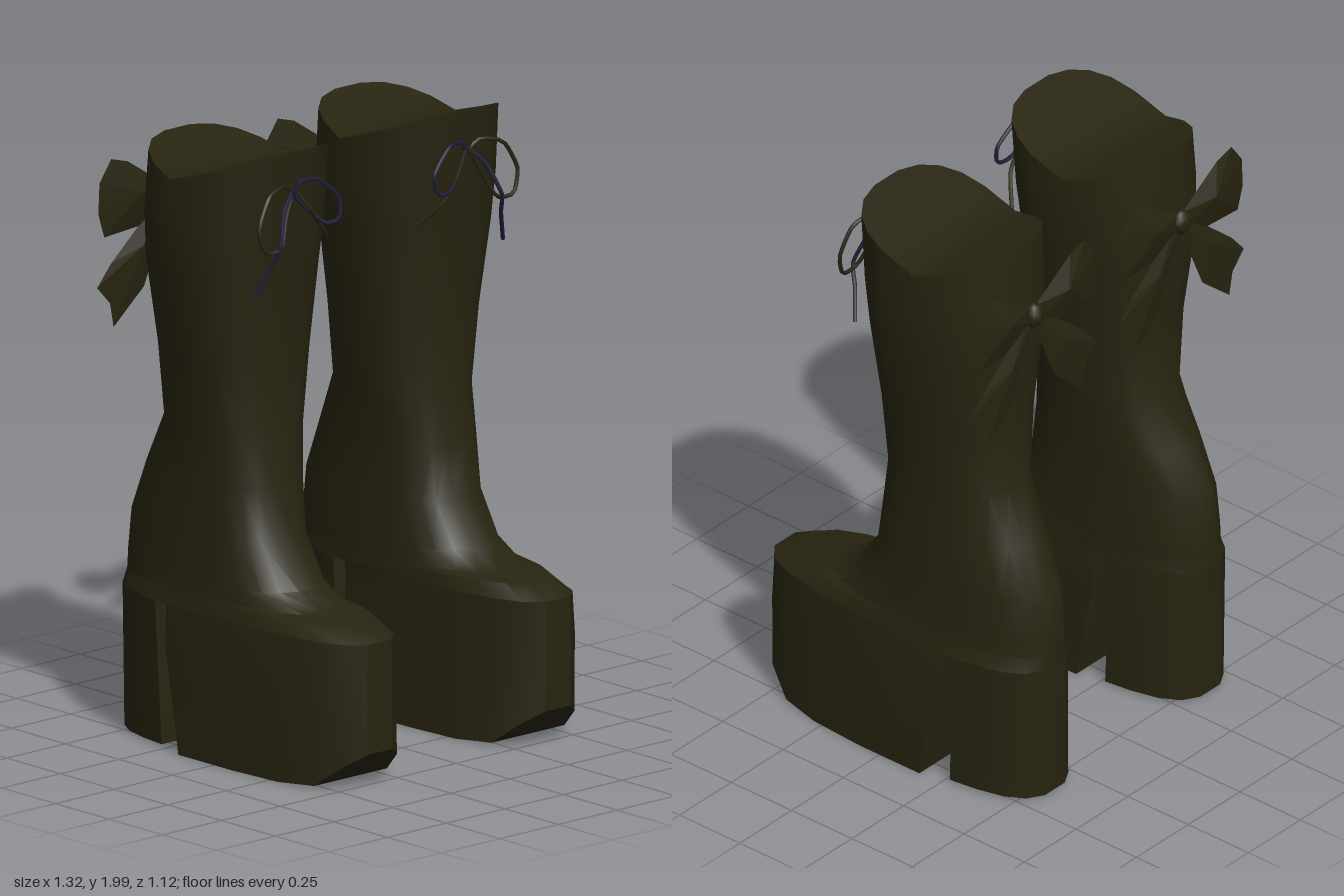
import * as THREE from 'three';
import { toCreasedNormals } from 'three/addons/utils/BufferGeometryUtils.js';

const N = 20; // points per horizontal section

// One egg-shaped section: x range, back z, front z, widest z, roundness,
// optional z clamp (flat cut) and height that may depend on z.
function section({ y, x0, x1, zb, zf, zm = -0.1, e = 0.8, min = -9, max = 9 }) {
  const xc = (x0 + x1) / 2, hw = (x1 - x0) / 2;
  const tip = Math.cos(Math.PI / N) ** e;
  const bend = (v) => Math.sign(v) * Math.abs(v) ** e / tip;
  return Array.from({ length: N }, (_, i) => {
    const t = ((i + 0.5) / N) * Math.PI * 2;
    const s = bend(Math.sin(t));
    const z = Math.min(max, Math.max(min, zm + s * (s > 0 ? zf - zm : zm - zb)));
    return [xc + hw * bend(Math.cos(t)), typeof y === 'function' ? y(z) : y, z];
  });
}

// Skin through sections, closed at both ends with strips across x.
function loft(sections) {
  const rings = sections.map(section), index = [];
  const at = (j, i) => j * N + ((i + N) % N);
  for (let j = 0; j < rings.length - 1; j++) {
    for (let i = 0; i < N; i++) {
      const a = at(j, i), b = at(j, i + 1), c = at(j + 1, i), d = at(j + 1, i + 1);
      index.push(a, c, b, b, c, d);
    }
  }
  const last = rings.length - 1;
  for (let k = -N / 4; k < N / 4 - 1; k++) {
    const m = N / 2 - 1 - k;
    for (const j of [0, last]) {
      const r = at(j, k), r2 = at(j, k + 1), l = at(j, m), l2 = at(j, m - 1);
      if (j) index.push(l, l2, r, r, l2, r2);
      else index.push(l, r, l2, r, r2, l2);
    }
  }
  const g = new THREE.BufferGeometry();
  g.setAttribute('position', new THREE.Float32BufferAttribute(rings.flat(2), 3));
  g.setIndex(index);
  return toCreasedNormals(g, 0.65);
}

// Flat outline with a raised middle on both faces (outline anticlockwise from +z).
function puff(outline, cx, cy, z, depth) {
  const p = [];
  outline.forEach(([x, y], i) => {
    const [u, v] = outline[(i + 1) % outline.length];
    p.push(x, y, z, u, v, z, cx, cy, z + depth);
    p.push(u, v, z, x, y, z, cx, cy, z - depth);
  });
  const g = new THREE.BufferGeometry();
  g.setAttribute('position', new THREE.Float32BufferAttribute(p, 3));
  g.computeVertexNormals();
  return g;
}

function cord(points, closed) {
  const path = new THREE.CatmullRomCurve3(points.map((p) => new THREE.Vector3(...p)), closed, 'catmullrom', 0.3);
  return new THREE.TubeGeometry(path, 24, 0.007, 5, closed).toNonIndexed();
}

// Mirror in x and reverse the corner order.
function mirrored(geometry, about = 0) {
  const g = geometry.clone();
  g.scale(-1, 1, 1).translate(2 * about, 0, 0);
  for (const a of Object.values(g.attributes)) {
    for (let i = 0; i < a.count; i += 3) {
      for (let c = 0; c < a.itemSize; c++) {
        const v = a.getComponent(i + 1, c);
        a.setComponent(i + 1, c, a.getComponent(i + 2, c));
        a.setComponent(i + 2, c, v);
      }
    }
  }
  return g;
}

export function createModel() {
  const leather = new THREE.MeshStandardMaterial({ color: 0x272410 });
  leather.name = 'dark olive leather';
  const navy = new THREE.MeshStandardMaterial({ color: 0x1f1d3a });
  navy.name = 'navy cord';

  const joint = { y: 0.485, x0: 0.2, x1: 0.56, zb: -0.555, zf: 0.56, e: 0.7 };
  const topEdge = (z) => 1.89 + (z > -0.16 ? (z + 0.16) * 0.355 : (-0.16 - z) * 0.335);

  // Foot upper, ankle and shaft up to the dipped top edge
  const upper = loft([
    joint,
    { y: 0.53, x0: 0.2, x1: 0.55, zb: -0.555, zf: 0.47 },
    { y: 0.54, x0: 0.2, x1: 0.548, zb: -0.555, zf: 0.33 },
    { y: 0.59, x0: 0.2, x1: 0.545, zb: -0.555, zf: 0.22 },
    { y: 0.73, x0: 0.205, x1: 0.54, zb: -0.54, zf: 0.12 },
    { y: 0.9, x0: 0.2, x1: 0.54, zb: -0.465, zf: 0.095 },
    { y: 1.07, x0: 0.18, x1: 0.54, zb: -0.38, zf: 0.07 },
    { y: 1.32, x0: 0.148, x1: 0.575, zb: -0.38, zf: 0.075 },
    { y: 1.6, x0: 0.122, x1: 0.613, zb: -0.41, zf: 0.105 },
    { y: 1.76, x0: 0.108, x1: 0.622, zb: -0.41, zf: 0.125 },
    { y: topEdge, x0: 0.115, x1: 0.61, zb: -0.4, zf: 0.155 },
  ]);

  // Platform sole with raised toe and sloped rear
  const toeSpring = (z) => 0.01 + Math.max(0, (z - 0.41) * 0.8);
  const platform = loft([
    { ...joint, y: toeSpring, x0: 0.182, x1: 0.575, min: -0.165 },
    { ...joint, y: 0.35, x0: 0.19, x1: 0.575, min: -0.225 },
    { ...joint, y: 0.487, min: -0.25 },
  ]);

  // Block heel with a flat front
  const heel = loft([
    { ...joint, y: 0.018, x0: 0.2, x1: 0.55, max: -0.27 },
    { ...joint, y: 0.487, max: -0.29 },
  ]);

  // Rear bow: one loop and one tail, then their mirrored copies
  const mid = 0.355, bowZ = -0.45;
  const loop = puff([[0.36, 1.71], [0.48, 1.66], [0.63, 1.65], [0.655, 1.73],
    [0.65, 1.83], [0.6, 1.9], [0.53, 1.88], [0.36, 1.77]], 0.49, 1.78, bowZ, 0.033);
  const tail = puff([[0.34, 1.74], [0.46, 1.46], [0.59, 1.35], [0.605, 1.43],
    [0.66, 1.49], [0.6, 1.56], [0.38, 1.75]], 0.48, 1.6, bowZ, 0.02);
  const knot = new THREE.SphereGeometry(0.04, 8, 6).toNonIndexed();
  knot.scale(0.9, 1.1, 0.8).translate(mid, 1.74, bowZ);

  // Front cord bow
  const innerLoop = cord([[0.36, 1.85, 0.15], [0.35, 1.9, 0.15], [0.28, 1.9, 0.165],
    [0.205, 1.83, 0.18], [0.21, 1.765, 0.185], [0.27, 1.76, 0.18]], true);
  const outerLoop = cord([[0.38, 1.87, 0.15], [0.42, 1.9, 0.155], [0.5, 1.88, 0.175],
    [0.55, 1.79, 0.185], [0.53, 1.71, 0.19], [0.46, 1.71, 0.19], [0.42, 1.79, 0.165]], true);
  const outerTail = cord([[0.38, 1.87, 0.15], [0.43, 1.82, 0.17], [0.47, 1.72, 0.2], [0.49, 1.65, 0.175], [0.53, 1.55, 0.14]], false);
  const innerTail = cord([[0.36, 1.87, 0.15], [0.31, 1.8, 0.17], [0.25, 1.72, 0.165], [0.18, 1.64, 0.1]], false);

  const parts = [
    ['upper', upper, leather], ['platformSole', platform, leather], ['heel', heel, leather],
    ['rearBowOuterLoop', loop, leather], ['rearBowInnerLoop', mirrored(loop, mid), leather],
    ['rearBowOuterTail', tail, leather], ['rearBowInnerTail', mirrored(tail, mid), leather],
    ['rearBowKnot', knot, leather],
    ['cordInnerLoop', innerLoop, navy], ['cordOuterTail', outerTail, navy],
    ['cordOuterLoop', outerLoop, leather], ['cordInnerTail', innerTail, leather],
  ];

  const model = new THREE.Group();
  model.name = 'platformBoots';
  for (const side of ['left', 'right']) {
    const boot = new THREE.Group();
    boot.name = side + 'Boot';
    for (const [name, geometry, material] of parts) {
      const mesh = new THREE.Mesh(side === 'left' ? geometry : mirrored(geometry), material);
      mesh.name = name;
      boot.add(mesh);
    }
    model.add(boot);
  }
  return model;
}
